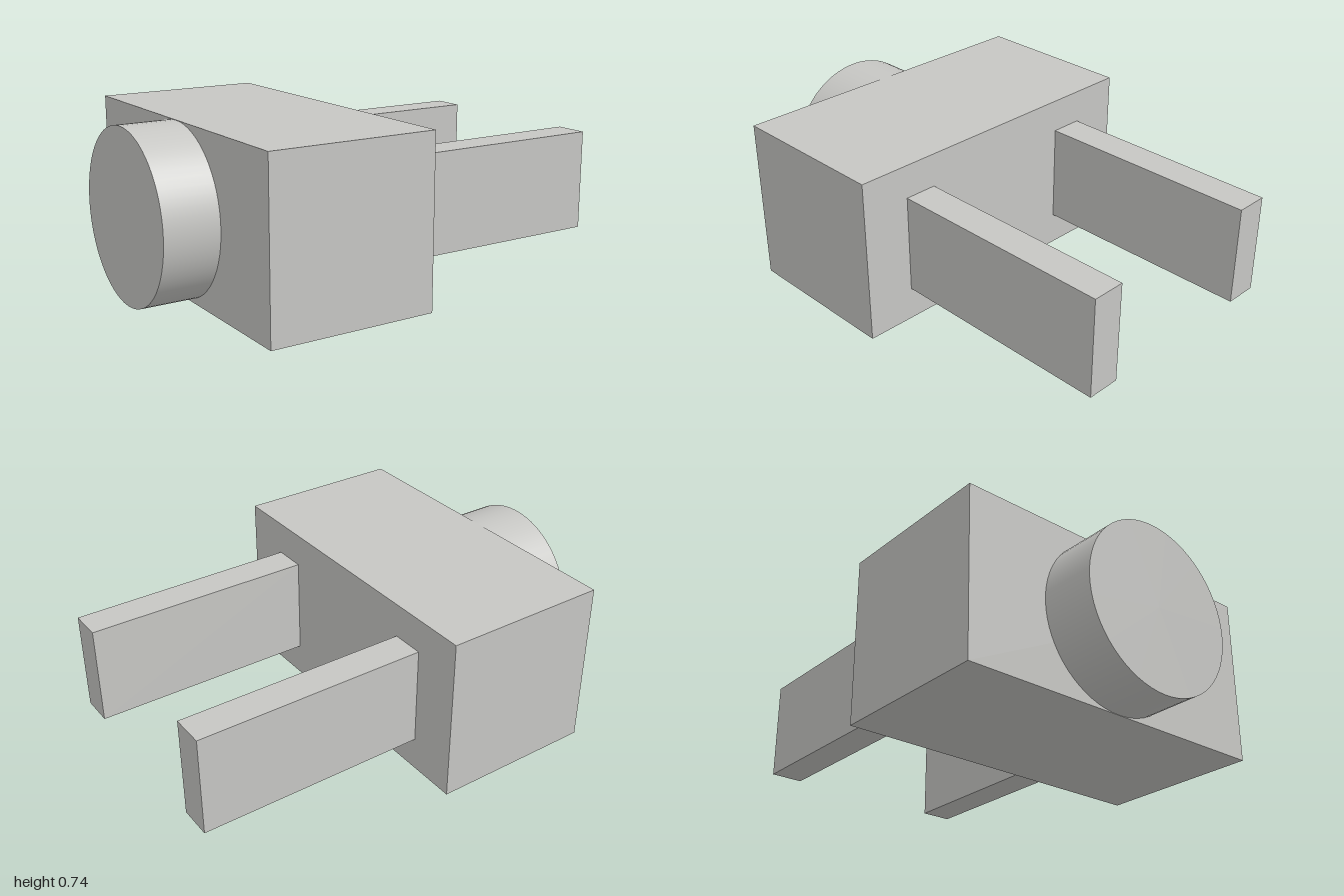
import * as THREE from 'three';

export function createModel() {
  const model = new THREE.Group();
  const grey = new THREE.MeshStandardMaterial({ color: 0xc6c6c3 });
  grey.name = 'light grey';

  const midY = 0.371;
  const add = (name, geometry, x, z = 0) => {
    const mesh = new THREE.Mesh(geometry, grey);
    mesh.name = name;
    mesh.position.set(x, midY, z);
    model.add(mesh);
  };

  // Wide housing block
  add('housing', new THREE.BoxGeometry(0.742, 0.742, 1.482), -0.389);

  // Round boss on the back of the housing
  const boss = new THREE.CylinderGeometry(0.37, 0.37, 0.24, 64).rotateZ(Math.PI / 2);
  add('roundBoss', boss, -0.88);

  // Two flat prongs, mirrored across z
  for (const side of [1, -1]) {
    add(side > 0 ? 'frontProng' : 'backProng',
      new THREE.BoxGeometry(1.018, 0.444, 0.147), 0.491, side * 0.444);
  }

  return model;
}
